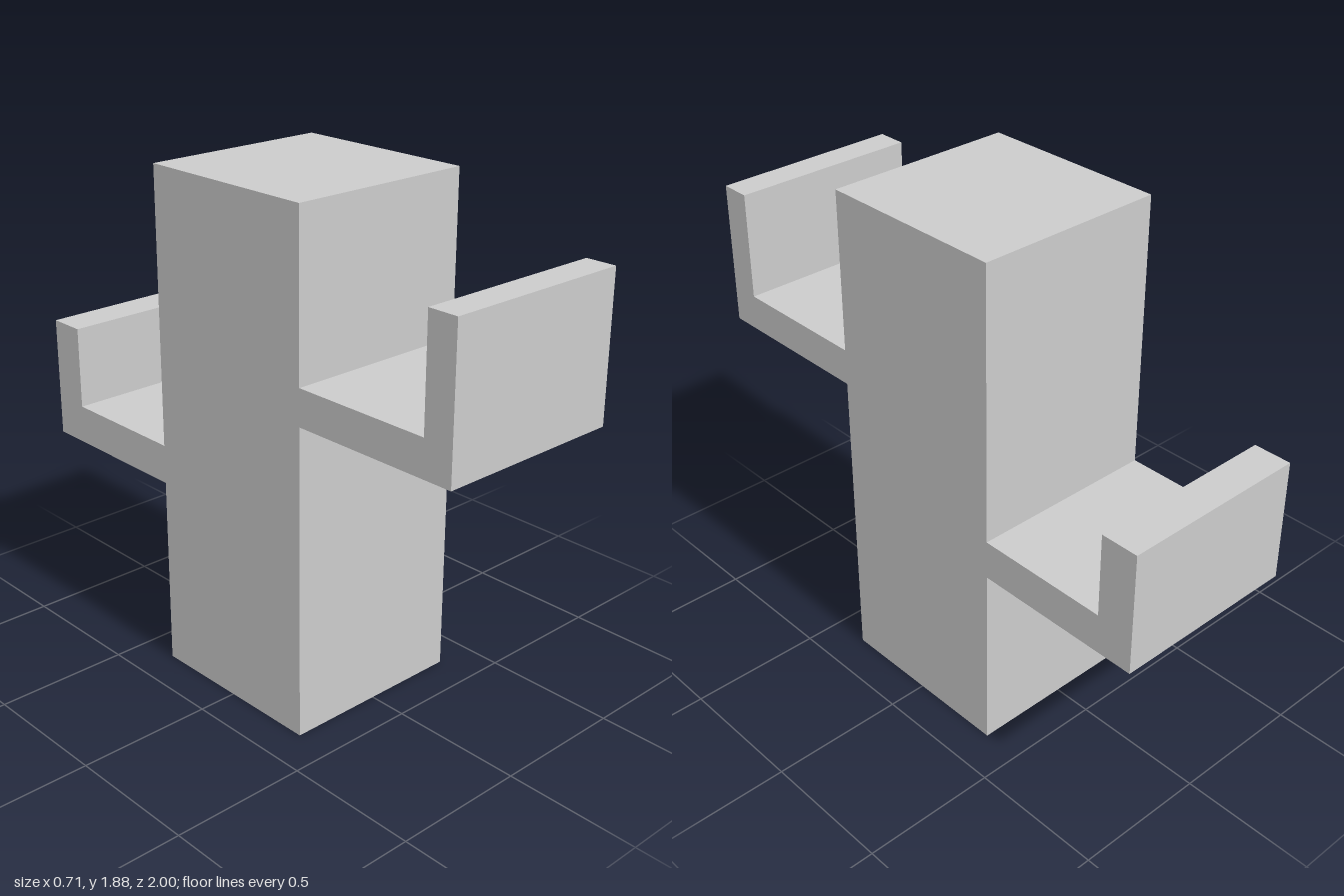
import * as THREE from 'three';

const WIDTH = 0.71;
const HALF = WIDTH / 2;

export function createModel() {
  const group = new THREE.Group();
  const material = new THREE.MeshStandardMaterial({ color: 0xcccccc, flatShading: true });

  // Upright square trunk
  const height = 1.875;
  const trunk = new THREE.Mesh(new THREE.BoxGeometry(WIDTH, height, WIDTH), material);
  trunk.name = 'trunk';
  trunk.position.y = height / 2;
  group.add(trunk);

  // L-shaped arm: a shelf leaving the trunk with an upturned end, drawn in (z, y)
  function addArm(name, side, bottom, shelfTop, tipTop, tipInner) {
    const profile = new THREE.Shape([
      [HALF, bottom], [1, bottom], [1, tipTop],
      [tipInner, tipTop], [tipInner, shelfTop], [HALF, shelfTop],
    ].map(([z, y]) => new THREE.Vector2(side * z, y)));
    const geometry = new THREE.ExtrudeGeometry(profile, { depth: WIDTH, bevelEnabled: false });
    geometry.translate(0, 0, -HALF).rotateY(-Math.PI / 2);
    const arm = new THREE.Mesh(geometry, material);
    arm.name = name;
    group.add(arm);
  }
  addArm('frontArm', 1, 1.152, 1.285, 1.68, 0.888);
  addArm('backArm', -1, 0.717, 0.862, 1.17, 0.859);

  return group;
}
